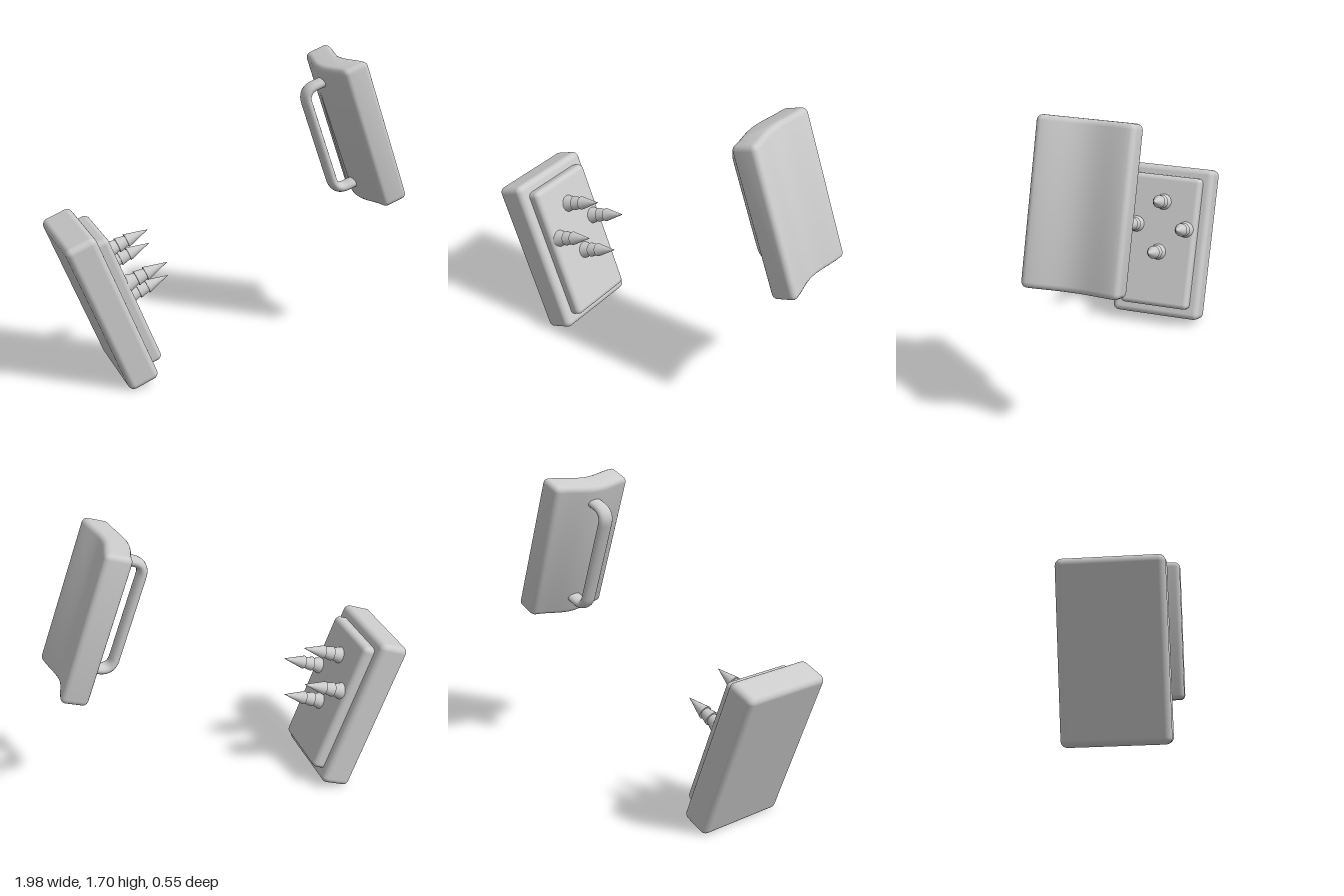
import * as THREE from 'three';
import { RoundedBoxGeometry } from 'three/addons/geometries/RoundedBoxGeometry.js';
import { toCreasedNormals } from 'three/addons/utils/BufferGeometryUtils.js';

const material = new THREE.MeshStandardMaterial({ color: 0xcccccc });

function addMesh(parent, name, geometry, x = 0, y = 0, z = 0) {
  const mesh = new THREE.Mesh(geometry, material);
  mesh.name = name;
  mesh.position.set(x, y, z);
  parent.add(mesh);
  return mesh;
}

// Spike pointing along +x: two flared collars and a sharp tip
function createSpike() {
  const spike = new THREE.Group();
  spike.name = 'spike';
  const sections = [
    ['spikeBase', 0.052, 0.032, 0.0, 0.065],
    ['spikeCollar', 0.042, 0.03, 0.065, 0.12],
    ['spikeTip', 0.039, 0, 0.12, 0.255],
  ];
  for (const [name, r0, r1, from, to] of sections) {
    const geo = new THREE.CylinderGeometry(r1, r0, to - from, 20);
    geo.rotateZ(-Math.PI / 2);
    addMesh(spike, name, geo, (from + to) / 2);
  }
  return spike;
}

// Stepped plate with a diamond of four spikes
function createSpikedPlate() {
  const plate = new THREE.Group();
  plate.name = 'spikedPlate';
  addMesh(plate, 'backPlate', new RoundedBoxGeometry(0.178, 0.928, 0.547, 4, 0.035));
  addMesh(plate, 'raisedPanel', new RoundedBoxGeometry(0.2, 0.805, 0.432, 4, 0.03), 0.053);
  for (const [y, z] of [[0.24, 0], [0.087, 0.155], [0.087, -0.155], [-0.068, 0]]) {
    const spike = createSpike();
    spike.position.set(0.142, y, z + 0.003);
    plate.add(spike);
  }
  plate.position.set(-0.754, 0.452, 0);
  plate.rotation.z = THREE.MathUtils.degToRad(21.4);
  return plate;
}

// Pad of constant thickness, bowed across its width, with rounded edges
function createPadGeometry() {
  const halfW = 0.257, halfT = 0.076, r = 0.03, sag = 0.045, bevel = 0.03, length = 0.86;
  const bow = (w) => sag * (0.5 - 0.5 * Math.cos((Math.PI * w) / halfW)) - sag / 2;
  const outline = [];
  const point = (x, w) => outline.push(new THREE.Vector2(x + bow(w), w));
  const corner = (cx, cw, start) => {
    for (let i = 0; i <= 5; i++) {
      const a = start + (i / 5) * (Math.PI / 2);
      point(cx + r * Math.cos(a), cw + r * Math.sin(a));
    }
  };
  const steps = 20, w0 = halfW - r, x0 = halfT - r;
  corner(x0, -w0, -Math.PI / 2);
  for (let i = 1; i < steps; i++) point(halfT, -w0 + (2 * w0 * i) / steps);
  corner(x0, w0, 0);
  corner(-x0, w0, Math.PI / 2);
  for (let i = 1; i < steps; i++) point(-halfT, w0 - (2 * w0 * i) / steps);
  corner(-x0, -w0, Math.PI);
  const geo = new THREE.ExtrudeGeometry(new THREE.Shape(outline), {
    depth: length - 2 * bevel, bevelEnabled: true, bevelSize: bevel,
    bevelThickness: bevel, bevelOffset: -bevel, bevelSegments: 4,
  });
  geo.translate(0, 0, -(length - 2 * bevel) / 2);
  geo.rotateX(-Math.PI / 2);
  return toCreasedNormals(geo, 0.7);
}

// Bowed pad with a grab handle behind it
function createHandledPad() {
  const pad = new THREE.Group();
  pad.name = 'handledPad';
  addMesh(pad, 'curvedPad', createPadGeometry());

  const v = (x, y) => new THREE.Vector3(x, y, 0);
  const bar = -0.217, h = 0.322, bend = 0.075, root = -0.05;
  const path = new THREE.CurvePath();
  path.add(new THREE.LineCurve3(v(root, h), v(bar + bend, h)));
  path.add(new THREE.QuadraticBezierCurve3(v(bar + bend, h), v(bar, h), v(bar, h - bend)));
  path.add(new THREE.LineCurve3(v(bar, h - bend), v(bar, bend - h)));
  path.add(new THREE.QuadraticBezierCurve3(v(bar, bend - h), v(bar, -h), v(bar + bend, -h)));
  path.add(new THREE.LineCurve3(v(bar + bend, -h), v(root, -h)));
  const tube = new THREE.TubeGeometry(path, 90, 0.028, 16);
  tube.scale(1, 1, 1.65);
  addMesh(pad, 'handle', tube, 0, 0.006, 0);

  pad.position.set(0.762, 1.273, -0.004);
  pad.rotation.z = THREE.MathUtils.degToRad(19.5);
  return pad;
}

export function createModel() {
  const model = new THREE.Group();
  model.name = 'spikedPlateAndPad';
  model.add(createSpikedPlate(), createHandledPad());
  return model;
}
